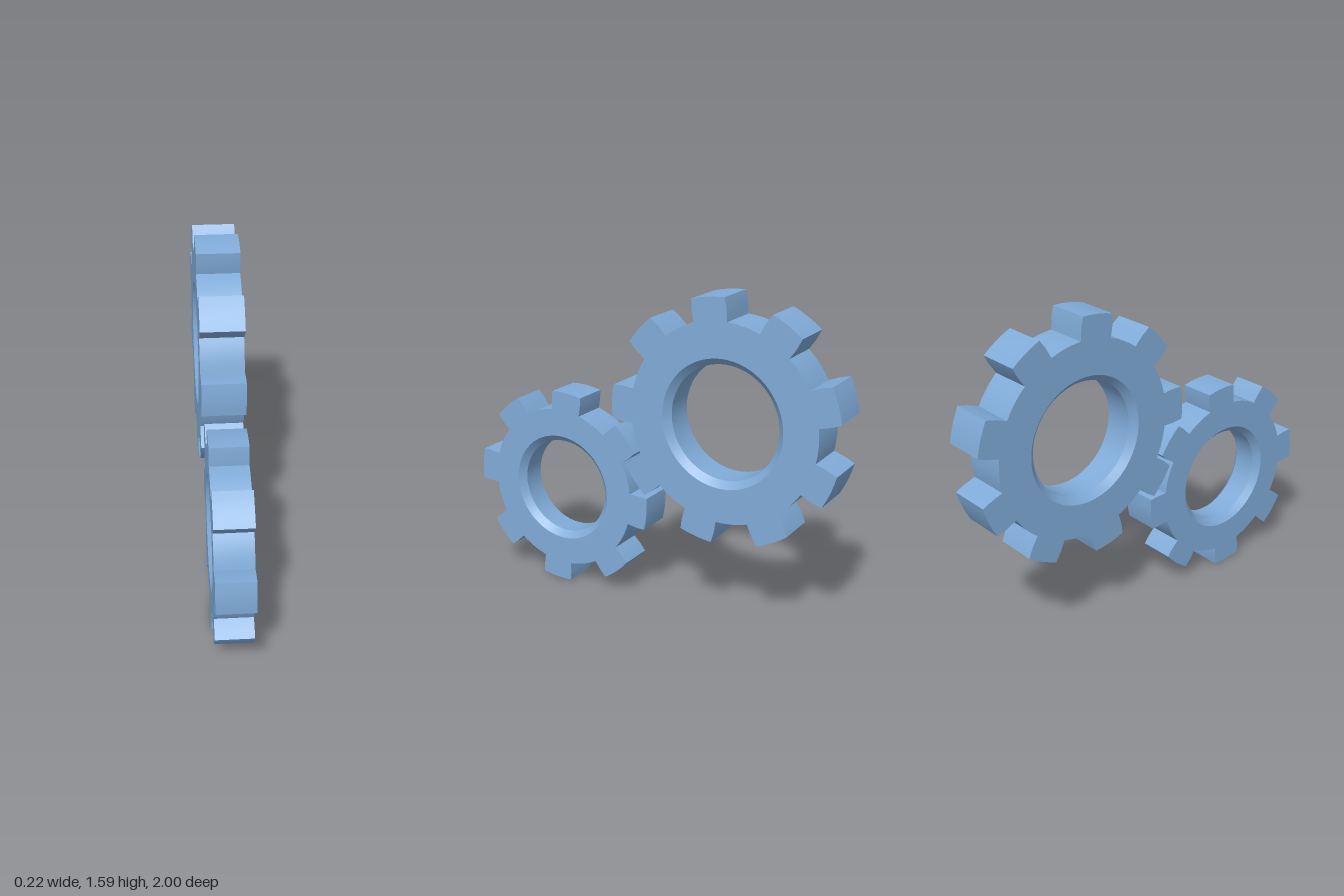
import * as THREE from 'three';
import { toCreasedNormals } from 'three/addons/utils/BufferGeometryUtils.js';

const RAD = Math.PI / 180;

// Toothed outline; angles in degrees, counter-clockwise
function gearShape({ teeth, start, tipR, rootR, tipHalf, rootHalf, boreOuter }) {
  const pts = [];
  const step = 360 / teeth;
  const add = (r, deg) => pts.push(new THREE.Vector2(r * Math.cos(deg * RAD), r * Math.sin(deg * RAD)));
  for (let i = 0; i < teeth; i++) {
    const a = start + i * step;
    const midR = rootR + (tipR - rootR) * 0.55;
    const midHalf = (tipHalf + rootHalf) / 2 + 0.2;
    add(rootR, a - rootHalf);
    add(midR, a - midHalf);
    for (let k = 0; k <= 4; k++) add(tipR, a - tipHalf + (k / 4) * 2 * tipHalf);
    add(midR, a + midHalf);
    // valley floor between this tooth and the next
    const gap = step - 2 * rootHalf;
    for (let k = 0; k < 6; k++) add(rootR, a + rootHalf + (k / 6) * gap);
  }
  const shape = new THREE.Shape(pts);
  shape.holes.push(new THREE.Path().absarc(0, 0, boreOuter, 0, Math.PI * 2, true));
  return shape;
}

// Removes the straight hole wall, which the chamfered bore replaces
function dropHoleWall(geometry, radius) {
  const src = geometry.index ? geometry.toNonIndexed() : geometry;
  const p = src.attributes.position;
  const kept = [];
  for (let i = 0; i < p.count; i += 3) {
    const onHole = [0, 1, 2].every(k => Math.hypot(p.getX(i + k), p.getY(i + k)) < radius + 1e-4);
    if (onHole) continue;
    for (let k = 0; k < 3; k++) kept.push(p.getX(i + k), p.getY(i + k), p.getZ(i + k));
  }
  const out = new THREE.BufferGeometry();
  out.setAttribute('position', new THREE.Float32BufferAttribute(kept, 3));
  return out;
}

function makeGear(name, o, material) {
  const gear = new THREE.Group();
  gear.name = name;
  const h = o.thickness / 2;

  // toothed ring
  let ring = new THREE.ExtrudeGeometry(gearShape(o), { depth: o.thickness, bevelEnabled: false, curveSegments: 32 });
  ring = dropHoleWall(ring, o.boreOuter);
  ring.translate(0, 0, -h);
  ring.rotateY(Math.PI / 2);
  const ringMesh = new THREE.Mesh(toCreasedNormals(ring, 25 * RAD), material);
  ringMesh.name = name + 'Ring';

  // bore with a chamfer at each end, facing the axis
  const profile = [
    [o.boreOuter, h], [o.boreInner, h - o.chamfer],
    [o.boreInner, o.chamfer - h], [o.boreOuter, -h],
  ].map(([x, y]) => new THREE.Vector2(x, y));
  const bore = new THREE.LatheGeometry(profile, 64);
  bore.rotateX(Math.PI / 2);
  bore.rotateY(Math.PI / 2);
  const boreMesh = new THREE.Mesh(toCreasedNormals(bore, 25 * RAD), material);
  boreMesh.name = name + 'Bore';

  gear.add(ringMesh, boreMesh);
  gear.position.set(...o.position);
  gear.rotation.set(0, o.yaw, o.roll);
  return gear;
}

export function createModel() {
  const blue = new THREE.MeshStandardMaterial({ color: 0x80abd8 });
  blue.name = 'steelBlue';

  const model = new THREE.Group();
  model.name = 'gearPair';
  model.add(
    makeGear('largeGear', {
      teeth: 9, start: 17.7, tipR: 0.589, rootR: 0.48, tipHalf: 8.2, rootHalf: 10.2,
      boreOuter: 0.31, boreInner: 0.277, chamfer: 0.033, thickness: 0.21,
      position: [0, 1.0, -0.415], yaw: 0.01, roll: 0,
    }, blue),
    makeGear('smallGear', {
      teeth: 8, start: 40.3, tipR: 0.507, rootR: 0.413, tipHalf: 9.4, rootHalf: 11.2,
      boreOuter: 0.275, boreInner: 0.243, chamfer: 0.032, thickness: 0.18,
      position: [0.008, 0.508, 0.496], yaw: 0.006, roll: 0.004,
    }, blue),
  );
  return model;
}
